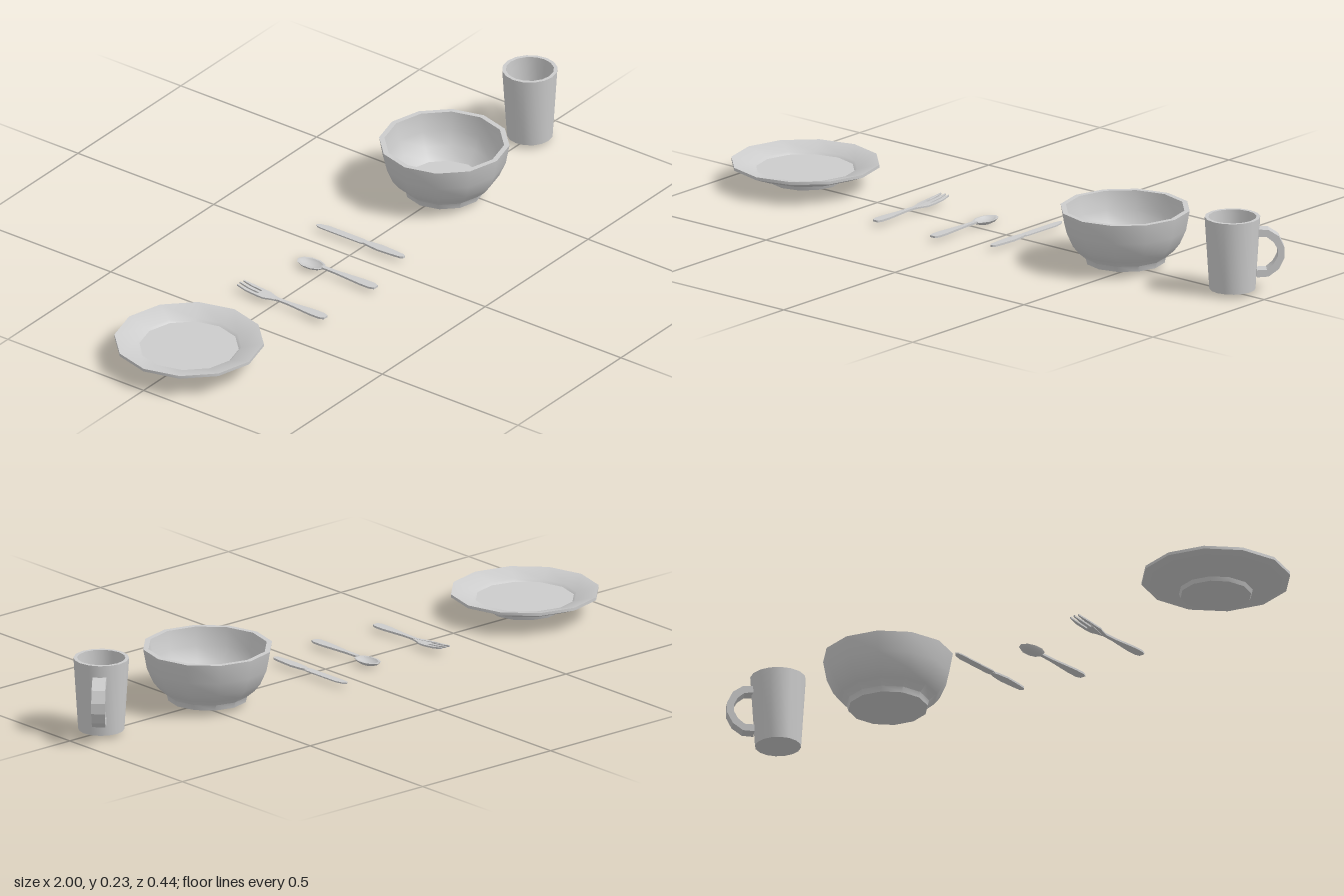
import * as THREE from 'three';
import { toCreasedNormals } from 'three/addons/utils/BufferGeometryUtils.js';

const material = new THREE.MeshStandardMaterial({ color: 0xcccccc, side: THREE.DoubleSide });

function part(name, geometry, crease = 0.7) {
  const mesh = new THREE.Mesh(toCreasedNormals(geometry, crease), material);
  mesh.name = name;
  return mesh;
}

// Closed [radius, height] profile: outside from the base up, then back down the inside
function turned(name, profile, sides) {
  return part(name, new THREE.LatheGeometry(profile.map(([r, y]) => new THREE.Vector2(r, y)), sides));
}

// Flat outline of [x, z] points, given thickness upwards from y
function plateCut(points, y, thickness) {
  const shape = new THREE.Shape(points.map(([x, z]) => new THREE.Vector2(x, -z)));
  const geometry = new THREE.ExtrudeGeometry(shape, { depth: thickness, bevelEnabled: false });
  return geometry.rotateX(-Math.PI / 2).translate(0, y, 0);
}

// Symmetric outline from the right-hand half
const mirrored = (half) => [...half, ...half.map(([x, z]) => [-x, z]).reverse()];

// Move vertices up by a rule of z
function bend(geometry, rise) {
  const p = geometry.attributes.position;
  for (let i = 0; i < p.count; i++) p.setY(i, p.getY(i) + rise(p.getZ(i)));
  return geometry;
}

function group(name, x, ...children) {
  const g = new THREE.Group();
  g.name = name;
  g.position.x = x;
  g.add(...children);
  return g;
}

// Handle that widens from a thin neck to a blunt end
function cutleryHandle(neckZ, endZ) {
  const half = [[0.006, neckZ], [0.007, neckZ + 0.05], [0.015, endZ - 0.05],
    [0.015, endZ - 0.015], [0.009, endZ]];
  return part('handle', plateCut(mirrored(half), 0.013, 0.006), 0.4);
}

function fork() {
  // Palm with three tines and two slots
  const half = [[0.006, 0.01], [0.012, -0.015], [0.02, -0.035], [0.021, -0.06], [0.021, -0.1], [0.017, -0.133],
    [0.013, -0.133], [0.011, -0.1], [0.011, -0.062], [0.005, -0.062], [0.005, -0.1], [0.002, -0.135]];
  const head = bend(plateCut(mirrored(half), 0.013, 0.005),
    (z) => 0.01 * Math.pow(Math.max(0, (-z - 0.03) / 0.105), 2));
  return group('fork', -0.353, cutleryHandle(0, 0.18), part('tines', head, 0.4));
}

function spoon() {
  const profile = [[0, 0.002], [0.5, 0.003], [0.85, 0.009], [1, 0.016], [0.84, 0.016], [0.65, 0.01], [0, 0.006]];
  const scoop = new THREE.LatheGeometry(profile.map(([r, y]) => new THREE.Vector2(r, y)), 10);
  scoop.scale(0.029, 1, 0.049).translate(0, 0, -0.048);
  return group('spoon', -0.122, cutleryHandle(-0.006, 0.19), part('scoop', scoop));
}

function knife() {
  const blade = plateCut([[-0.006, 0.015], [0.006, 0.015], [0.012, -0.005], [0.012, -0.135],
    [0.006, -0.16], [-0.003, -0.172], [-0.01, -0.165], [-0.012, -0.15], [-0.012, -0.005]], 0.014, 0.004);
  const half = [[0.006, 0], [0.011, 0.02], [0.015, 0.06], [0.012, 0.11], [0.009, 0.14], [0.004, 0.148]];
  return group('knife', 0.07, part('blade', blade, 0.4),
    part('handle', plateCut(mirrored(half), 0.013, 0.006), 0.4));
}

function mug() {
  const body = turned('body', [[0, 0.013], [0.068, 0.013], [0.082, 0.233], [0.071, 0.233], [0.06, 0.028], [0, 0.028]], 16);
  // Faceted D-shaped handle, turned towards the back right
  const loop = [[0.071, 0.197], [0.105, 0.195], [0.135, 0.175], [0.152, 0.14], [0.152, 0.108], [0.135, 0.074],
    [0.105, 0.052], [0.071, 0.05], [0.071, 0.072], [0.1, 0.073], [0.12, 0.09], [0.132, 0.113],
    [0.132, 0.135], [0.12, 0.157], [0.1, 0.173], [0.071, 0.175]];
  const shape = new THREE.Shape(loop.map(([d, y]) => new THREE.Vector2(d, y)));
  const handle = new THREE.ExtrudeGeometry(shape, { depth: 0.04, bevelEnabled: false });
  handle.translate(0, 0, -0.02).rotateY(Math.PI / 4);
  return group('mug', 0.877, body, part('handle', handle, 0.4));
}

export function createModel() {
  const plate = turned('plate', [[0, 0.015], [0.105, 0.015], [0.11, 0.027], [0.165, 0.044], [0.221, 0.066], [0.221, 0.075],
    [0.155, 0.058], [0.147, 0.051], [0, 0.051]], 12);
  plate.position.x = -0.779;

  const bowl = turned('bowl', [[0, 0.015], [0.118, 0.015], [0.122, 0.032], [0.145, 0.052], [0.163, 0.075], [0.182, 0.118],
    [0.193, 0.178], [0.177, 0.178], [0.167, 0.122], [0.148, 0.08], [0.115, 0.047], [0, 0.045]], 12);
  bowl.position.x = 0.461;

  const model = new THREE.Group();
  model.name = 'tableware';
  model.add(plate, fork(), spoon(), knife(), bowl, mug());
  return model;
}
